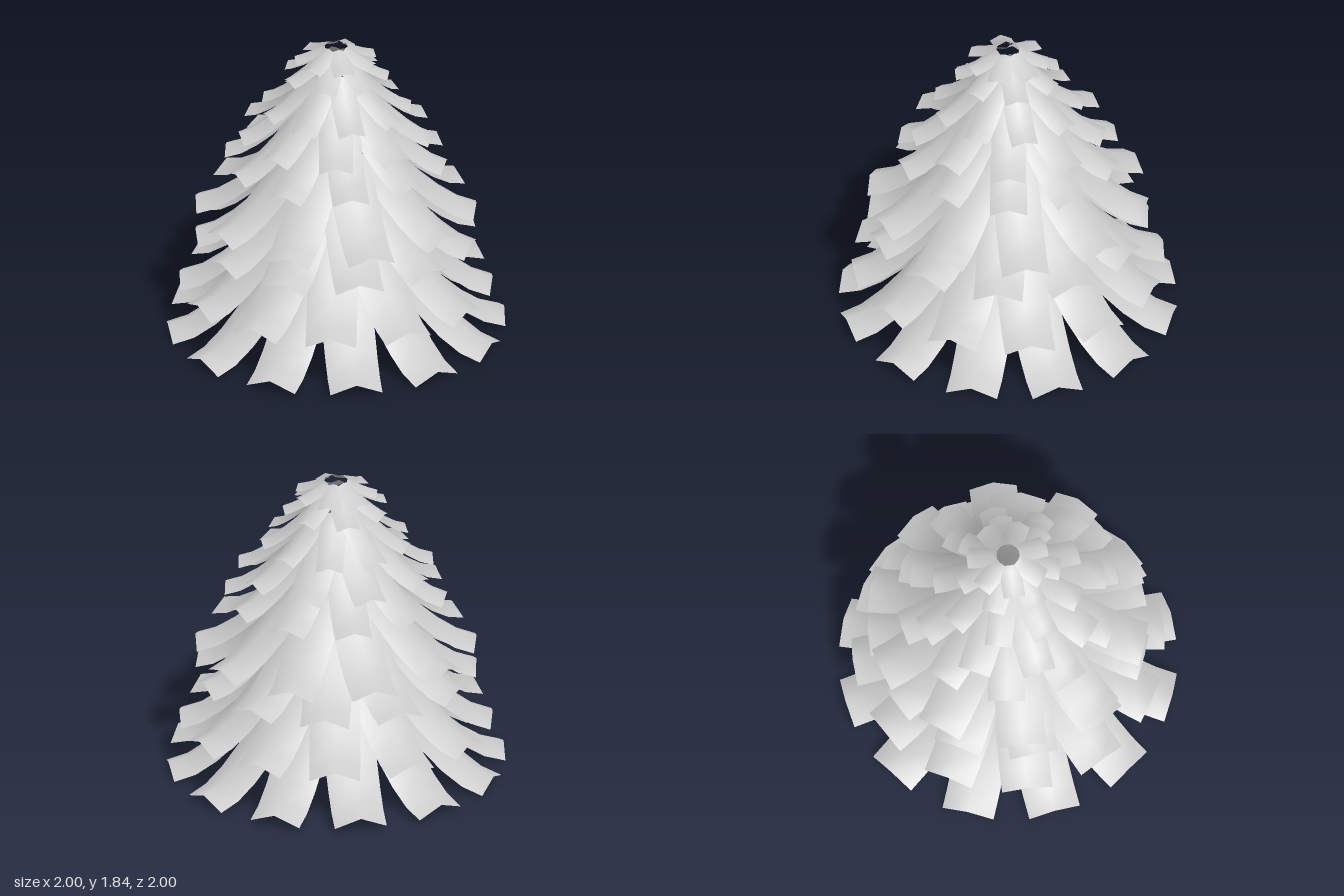
import * as THREE from 'three';

const material = new THREE.MeshStandardMaterial({ color: 0xcccccc, side: THREE.DoubleSide });

// A curved bough running out along +z: ridged across, swooping down from root to tip
function boughGeometry({ root, tip, tipY, rise, width, power }) {
  const rows = 5, half = width / 2, position = [], index = [];
  for (let i = 0; i <= rows; i++) {
    const u = i / rows;
    const z = root + (tip - root) * u;
    const y = tipY + rise * Math.pow(1 - u, power);
    for (const side of [-1, 0, 1]) {
      const edge = Math.abs(side);
      position.push(side * half, y - edge * half * 0.39, z - edge * 0.012);
    }
  }
  for (let i = 0; i < rows; i++) {
    for (let j = 0; j < 2; j++) {
      const a = i * 3 + j;
      index.push(a, a + 3, a + 1, a + 1, a + 3, a + 4);
    }
  }
  const geometry = new THREE.BufferGeometry();
  geometry.setAttribute('position', new THREE.Float32BufferAttribute(position, 3));
  geometry.setIndex(index);
  geometry.computeVertexNormals();
  return geometry;
}

// Tiers from the ground up; turn is the first bough's angle in degrees
const tiers = [
  { count: 12, turn: 0, root: 0.36, tip: 1.0, tipY: 0.075, rise: 0.54, width: 0.31, power: 1.65 },
  { count: 12, turn: -9, root: 0.32, tip: 0.925, tipY: 0.345, rise: 0.53, width: 0.3, power: 1.6 },
  { count: 11, turn: 3, root: 0.29, tip: 0.83, tipY: 0.65, rise: 0.45, width: 0.29, power: 1.6 },
  { count: 10, turn: 8, root: 0.27, tip: 0.83, tipY: 0.825, rise: 0.43, width: 0.28, power: 1.55 },
  { count: 10, turn: 1, root: 0.18, tip: 0.66, tipY: 1.135, rise: 0.38, width: 0.22, power: 1.5 },
  { count: 9, turn: -7, root: 0.17, tip: 0.58, tipY: 1.305, rise: 0.31, width: 0.2, power: 1.45 },
  { count: 9, turn: 6, root: 0.14, tip: 0.445, tipY: 1.465, rise: 0.23, width: 0.16, power: 1.4 },
  { count: 7, turn: -20, root: 0.1, tip: 0.315, tipY: 1.67, rise: 0.115, width: 0.14, power: 1.25 },
  { count: 7, turn: 6, root: 0.068, tip: 0.245, tipY: 1.765, rise: 0.075, width: 0.13, power: 1.2 },
];

export function createModel() {
  const tree = new THREE.Group();
  tree.name = 'coniferTree';
  tiers.forEach((tier, level) => {
    const ring = new THREE.Group();
    ring.name = `boughTier${level + 1}`;
    const geometry = boughGeometry(tier);
    for (let k = 0; k < tier.count; k++) {
      const bough = new THREE.Mesh(geometry, material);
      bough.name = 'bough';
      // Each bough sits a touch higher or lower than its neighbours
      bough.position.y = 0.014 * Math.cos(k * Math.PI / 3) * (1 - level / tiers.length);
      bough.rotation.y = THREE.MathUtils.degToRad(tier.turn + (360 * k) / tier.count);
      ring.add(bough);
    }
    tree.add(ring);
  });
  return tree;
}
